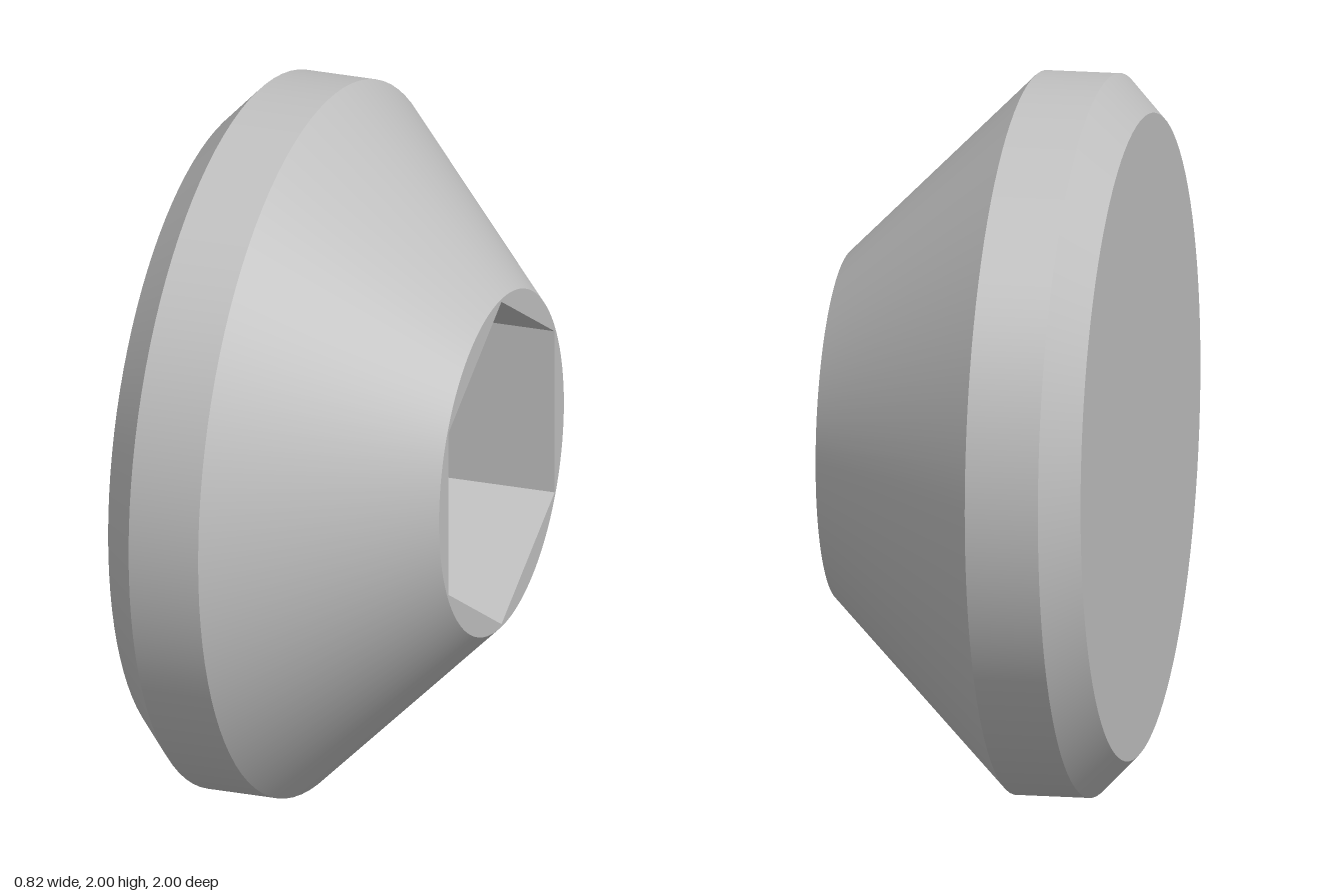
import * as THREE from 'three';

const SEGMENTS = 96;
const FRONT_X = 0.41, FLOOR_X = -0.2, FACE_R = 0.485, HEX_R = 0.477;

// Revolves [radius, x] points around the x axis
function revolve(points, segments = SEGMENTS, start = 0) {
  const profile = points.map(([r, x]) => new THREE.Vector2(r, x));
  return new THREE.LatheGeometry(profile, segments, start).rotateZ(-Math.PI / 2);
}

export function createModel() {
  const group = new THREE.Group();
  group.name = 'socketPlug';
  group.position.y = 1;

  const metal = new THREE.MeshStandardMaterial({ color: 0xc0c0c0 });
  metal.name = 'grey metal';

  const add = (name, geometry) => {
    const mesh = new THREE.Mesh(geometry, metal);
    mesh.name = name;
    group.add(mesh);
  };

  // Outer body, one band per surface so the edges stay sharp
  const outline = [[0, -0.41], [0.895, -0.41], [1, -0.31], [1, -0.105], [FACE_R, FRONT_X]];
  ['base', 'baseChamfer', 'rim', 'cone'].forEach((name, i) => {
    add(name, revolve([outline[i], outline[i + 1]]));
  });

  // Flat end face with a hexagonal opening
  const face = new THREE.Shape().absarc(0, 0, FACE_R, 0, Math.PI * 2);
  const corners = [];
  for (let i = 0; i < 6; i++) {
    const a = Math.PI / 2 - i * Math.PI / 3;
    corners.push(new THREE.Vector2(HEX_R * Math.cos(a), HEX_R * Math.sin(a)));
  }
  face.holes.push(new THREE.Path(corners));
  add('endFace', new THREE.ShapeGeometry(face, SEGMENTS).rotateY(Math.PI / 2).translate(FRONT_X, 0, 0));

  // Hexagonal socket: inward-facing flat walls and a floor
  const socket = revolve([[HEX_R, FRONT_X], [HEX_R, FLOOR_X], [0, FLOOR_X]], 6, Math.PI / 2).toNonIndexed();
  socket.computeVertexNormals();
  add('hexSocket', socket);

  const root = new THREE.Group();
  root.name = 'model';
  root.add(group);
  return root;
}
